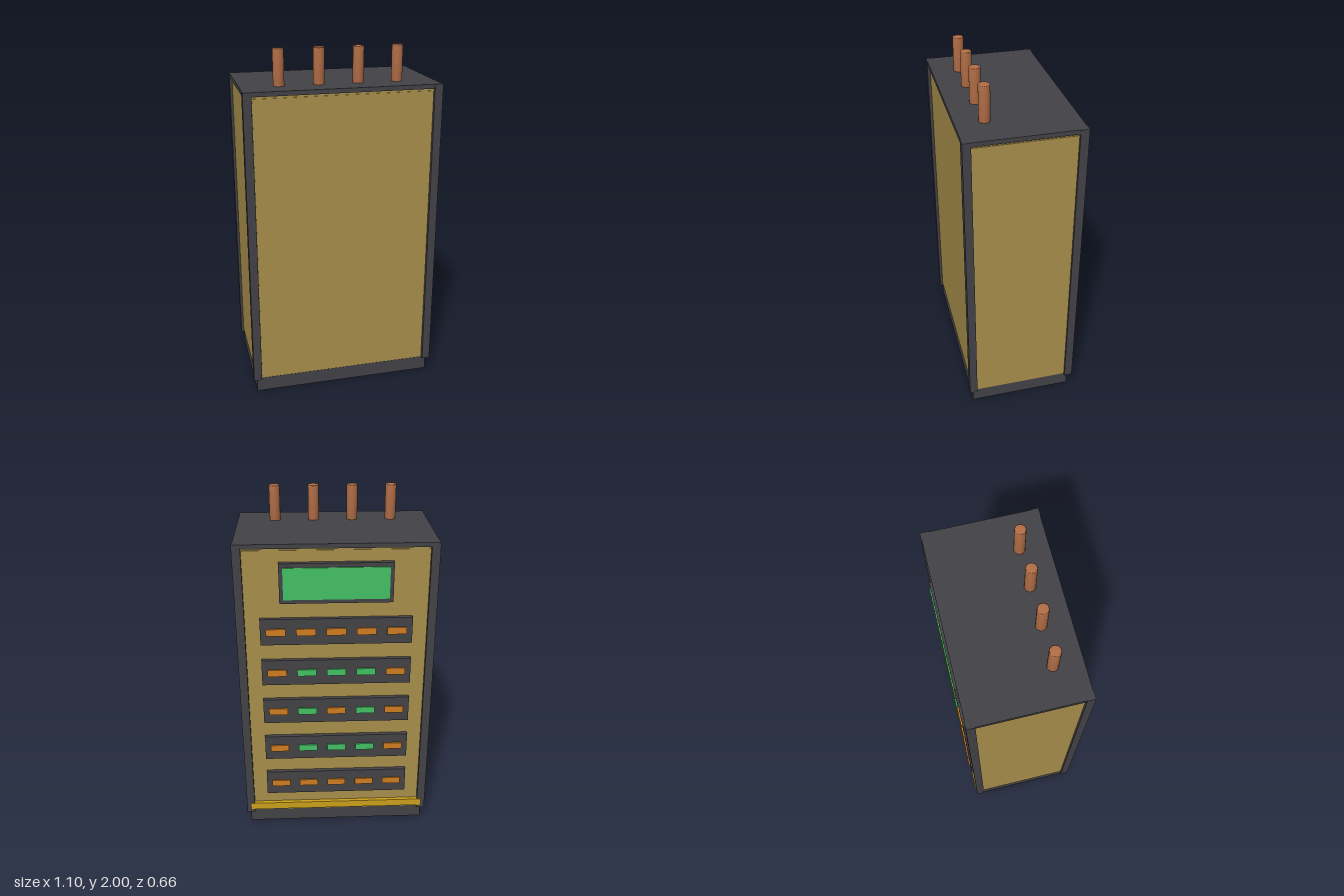
import * as THREE from 'three';

const mat = (name, color) => {
  const m = new THREE.MeshStandardMaterial({ color });
  m.name = name;
  return m;
};

export function createModel() {
  const charcoal = mat('charcoal', 0x434347);
  const brass = mat('brass panel', 0xa88e4c);
  const copper = mat('copper', 0xb46f48);
  const green = mat('green light', 0x43c163);
  const orange = mat('orange light', 0xd07c20);
  const yellow = mat('yellow trim', 0xcca01c);

  const root = new THREE.Group();
  root.name = 'controlCabinet';

  // Box given by its limits on each axis
  const box = (name, material, [x0, x1], [y0, y1], [z0, z1], parent = root) => {
    const mesh = new THREE.Mesh(new THREE.BoxGeometry(x1 - x0, y1 - y0, z1 - z0), material);
    mesh.position.set((x0 + x1) / 2, (y0 + y1) / 2, (z0 + z1) / 2);
    mesh.name = name;
    parent.add(mesh);
    return mesh;
  };

  // Plinth, body and lid
  box('plinth', charcoal, [-0.53, 0.53], [0, 0.085], [-0.29, 0.31]);
  box('body', brass, [-0.531, 0.531], [0.083, 1.778], [-0.294, 0.309]);
  box('lid', charcoal, [-0.547, 0.547], [1.775, 1.8], [-0.314, 0.327]);

  // Raised panels on the four faces
  box('frontPanel', brass, [-0.5, 0.5], [0.1, 1.762], [0.3, 0.313]);
  box('backPanel', brass, [-0.5, 0.5], [0.1, 1.762], [-0.298, -0.29]);
  for (const s of [-1, 1]) {
    const xs = s > 0 ? [0.52, 0.535] : [-0.535, -0.52];
    box('sidePanel', brass, xs, [0.1, 1.762], [-0.27, 0.285]);
  }

  // Corner posts
  for (const xs of [[-0.55, -0.503], [0.503, 0.55]]) {
    for (const zs of [[-0.317, -0.27], [0.285, 0.33]]) {
      box('cornerPost', charcoal, xs, [0.083, 1.8], zs);
    }
  }

  // Copper terminals with a small chamfer
  const profile = [[0, 0], [0.031, 0], [0.031, 0.202], [0.027, 0.206], [0, 0.206]]
    .map(([r, y]) => new THREE.Vector2(r, y));
  const terminalGeometry = new THREE.LatheGeometry(profile, 20);
  for (let i = 0; i < 4; i++) {
    const terminal = new THREE.Mesh(terminalGeometry, copper);
    terminal.name = 'terminal';
    terminal.position.set(-0.333 + i * 0.222, 1.794, 0.17);
    root.add(terminal);
  }

  // Display on the back
  box('displayFrame', charcoal, [-0.308, 0.308], [1.472, 1.698], [-0.326, -0.294]);
  box('displayScreen', green, [-0.287, 0.287], [1.495, 1.675], [-0.332, -0.325]);

  // Indicator rows, o = orange, g = green
  ['ooooo', 'ogggo', 'ogogo', 'ogggo', 'ooooo'].forEach((row, r) => {
    const y = 1.303 - r * 0.25;
    const group = new THREE.Group();
    group.name = 'indicatorRow';
    root.add(group);
    box('indicatorStrip', charcoal, [-0.42, 0.42], [y - 0.077, y + 0.077], [-0.322, -0.294], group);
    [...row].forEach((c, i) => {
      const x = (i - 2) * 0.167;
      box('indicatorLight', c === 'g' ? green : orange,
        [x - 0.054, x + 0.054], [y - 0.02, y + 0.02], [-0.33, -0.321], group);
    });
  });

  // Yellow trim along the lower back
  box('trimStrip', yellow, [-0.523, 0.523], [0.105, 0.15], [-0.321, -0.294]);

  return root;
}
